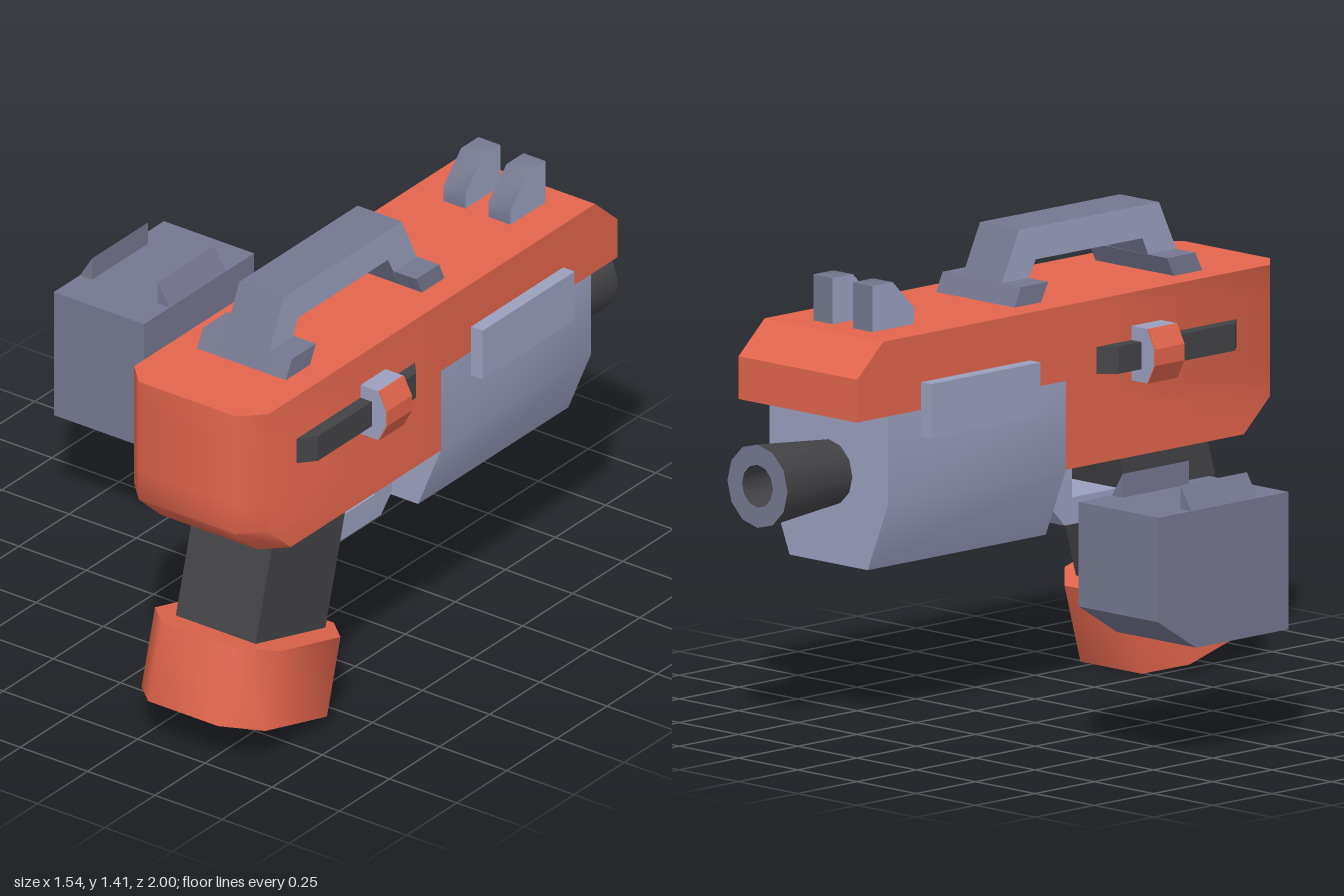
import * as THREE from 'three';
import { toCreasedNormals } from 'three/addons/utils/BufferGeometryUtils.js';

const CX = 0.42; // centre line of the blaster

export function createModel() {
  const root = new THREE.Group();
  const mat = (name, color) => Object.assign(new THREE.MeshStandardMaterial({ color }), { name });
  const orange = mat('orange', 0xe2654c);
  const light = mat('lightGrey', 0x9a9fbe);
  const dark = mat('darkGrey', 0x75778f);
  const black = mat('black', 0x434346);

  const add = (name, geo, material, parent = root) => {
    const mesh = new THREE.Mesh(geo, material);
    mesh.name = name;
    parent.add(mesh);
    return mesh;
  };
  const shapeOf = (pts) => new THREE.Shape(pts.map(([a, b]) => new THREE.Vector2(a, b)));
  const extrude = (pts, depth, steps = 1) =>
    new THREE.ExtrudeGeometry(shapeOf(pts), { depth, steps, bevelEnabled: false });
  // side profile of [z, y] points, extruded across x
  const sideExtrude = (pts, width, cx = CX) =>
    extrude(pts.map(([z, y]) => [-z, y]), width).rotateY(Math.PI / 2).translate(cx - width / 2, 0, 0);
  // plan outline of [x, z] points, extruded downwards from yTop
  const planExtrude = (pts, height, yTop, steps = 1) =>
    extrude(pts, height, steps).rotateX(Math.PI / 2).translate(0, yTop, 0);
  const smooth = (geo) => toCreasedNormals(geo, 0.9);

  // Main body: chamfered front corners, front edge pulled back at the bottom
  const front = planExtrude([
    [CX - 0.25, 0.05], [CX + 0.25, 0.05], [CX + 0.25, 0.91], [CX + 0.18, 0.98],
    [CX - 0.18, 0.98], [CX - 0.25, 0.91],
  ], 0.5, 1.21, 5);
  const p = front.attributes.position;
  for (let i = 0; i < p.count; i++) {
    if (p.getY(i) < 0.72 && p.getZ(i) > 0.5) p.setZ(i, p.getZ(i) - 0.11);
  }
  add('bodyFront', smooth(front), orange);
  add('bodyRear', sideExtrude([
    [0.05, 0.98], [0.05, 1.21], [-0.72, 1.21], [-0.83, 1.11], [-0.83, 0.98],
  ], 0.5), orange);

  // Barrel housing with tapered underside
  const housing = extrude([
    [-0.25, 0.98], [-0.25, 0.71], [-0.165, 0.5], [0.165, 0.5], [0.25, 0.71], [0.25, 0.98],
  ], 0.75).translate(CX, 0, -0.7);
  add('barrelHousing', smooth(housing), light);

  // Flared hollow muzzle
  const muzzle = new THREE.Group();
  muzzle.name = 'muzzle';
  muzzle.position.set(CX, 0.775, 0);
  root.add(muzzle);
  const tube = (rBack, rFront, len, zEnd) =>
    new THREE.CylinderGeometry(rBack, rFront, len, 12, 1, true).rotateX(Math.PI / 2)
      .rotateX(Math.PI).rotateX(Math.PI).translate(0, 0, zEnd + len / 2);
  add('muzzleTube', tube(0.1, 0.127, 0.3, -1), black, muzzle);
  const boreMat = black.clone();
  boreMat.side = THREE.BackSide;
  add('muzzleBore', tube(0.065, 0.065, 0.2, -1), boreMat, muzzle);
  add('muzzleRing', new THREE.RingGeometry(0.065, 0.127, 12).rotateY(Math.PI).rotateZ(Math.PI / 2)
    .translate(0, 0, -1), dark, muzzle);
  add('boreEnd', new THREE.CircleGeometry(0.065, 12).rotateY(Math.PI).translate(0, 0, -0.8), black, muzzle);

  // Carry handle: light side faces, dark edges
  add('carryHandle', sideExtrude([
    [0.71, 1.21], [0.61, 1.42], [0.02, 1.42], [-0.08, 1.21],
    [0.03, 1.21], [0.09, 1.32], [0.54, 1.32], [0.59, 1.21],
  ], 0.165), [light, dark]);
  add('handleFootFront', sideExtrude([[0.71, 1.21], [0.68, 1.268], [0.56, 1.268], [0.59, 1.21]], 0.33), dark);
  add('handleFootRear', sideExtrude([[0.03, 1.21], [0.06, 1.268], [-0.055, 1.268], [-0.082, 1.21]], 0.33), dark);

  // Pair of sights
  for (const s of [-1, 1]) {
    add('sight', smooth(sideExtrude([
      [-0.465, 1.21], [-0.465, 1.26], [-0.555, 1.35], [-0.64, 1.35], [-0.64, 1.21],
    ], 0.082, CX + s * 0.084)), [light, dark]);
  }

  // Side fittings, mirrored
  for (const s of [-1, 1]) {
    const x = (d) => CX + s * d;
    add('sidePlate', new THREE.BoxGeometry(0.06, 0.165, 0.46).translate(x(0.263), 0.982, -0.33), light);
    add('slotBar', planExtrude([
      [x(0.24), 0.77], [x(0.25), 0.77], [x(0.292), 0.72], [x(0.292), 0.23], [x(0.25), 0.18], [x(0.24), 0.18],
    ], 0.083, 1.065), black);
    const rim = [[x(0.315), 1.108], [x(0.345), 1.05], [x(0.345), 1.0], [x(0.315), 0.942]];
    add('knob', extrude([[x(0.24), 1.108], ...rim, [x(0.24), 0.942]], 0.124).translate(0, 0, 0.327), light);
    // thin cap over the outer faces of the knob
    const cap = [...rim.map(([a, b]) => [a + s * 0.004, b]), ...rim.slice().reverse()];
    add('knobCap', extrude(cap, 0.124).translate(0, 0, 0.327), orange);
  }

  // Trigger guard
  add('triggerGuard', sideExtrude([
    [0.12, 0.72], [0.12, 0.56], [0.175, 0.503], [0.5, 0.503], [0.5, 0.585], [0.205, 0.585], [0.205, 0.72],
  ], 0.24), light);

  // Slanted grip with eight-sided base
  const grip = new THREE.Group();
  grip.name = 'grip';
  grip.position.set(CX, 0.2, 0.7125);
  grip.rotation.x = -0.272;
  root.add(grip);
  add('gripHandle', new THREE.BoxGeometry(0.297, 0.52, 0.362).translate(0, 0.34, -0.015), black, grip);
  add('gripBase', smooth(planExtrude([
    [0.13, 0.265], [0.23, 0.16], [0.23, -0.16], [0.13, -0.265],
    [-0.13, -0.265], [-0.23, -0.16], [-0.23, 0.16], [-0.13, 0.265],
  ], 0.25, 0.125)), orange, grip);

  // Detached magazine with two wedge clips on top
  const magazine = new THREE.Group();
  magazine.name = 'magazine';
  magazine.position.x = -0.602;
  root.add(magazine);
  add('magazineBody', smooth(sideExtrude([
    [0.05, 0.36], [0.05, 0.778], [-0.5, 0.778], [-0.5, 0.46], [-0.34, 0.36],
  ], 0.335, 0)), dark, magazine);
  for (const s of [-1, 1]) {
    add('magazineClip', extrude([[s * 0.167, 0.77], [s * 0.167, 0.778], [s * 0.122, 0.85], [s * 0.122, 0.77]], 0.28)
      .translate(0, 0, -0.36), dark, magazine);
  }
  return root;
}
